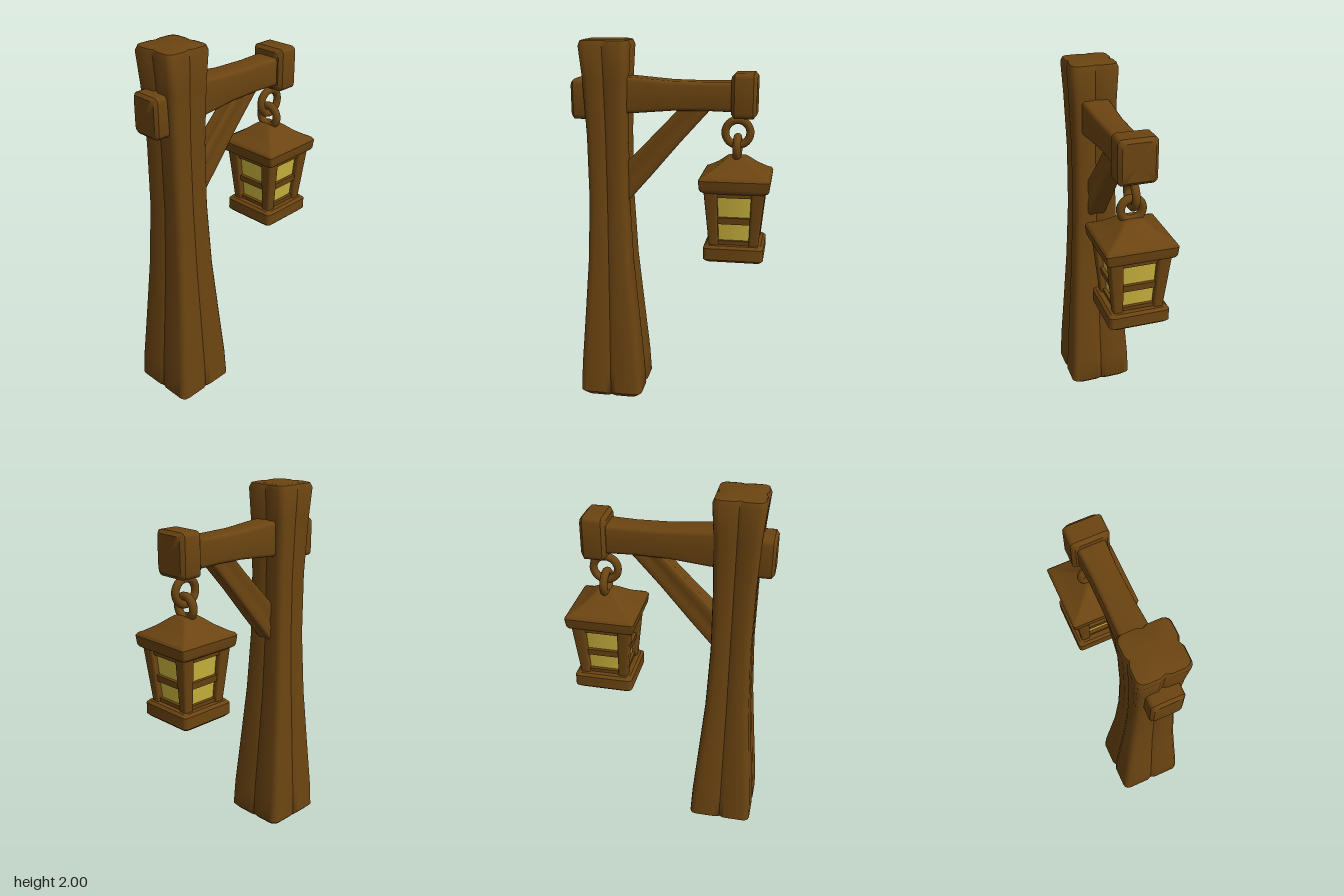
import * as THREE from 'three';
import { toCreasedNormals } from 'three/addons/utils/BufferGeometryUtils.js';

const wood = new THREE.MeshStandardMaterial({ color: 0x6b4411 });
wood.name = 'brown wood';
const glow = new THREE.MeshStandardMaterial({ color: 0xcdb63f });
glow.name = 'yellow glass';

// Rounded rectangle outline with an optional groove in the middle of each side
function outline(hx, hz, r, groove) {
  const pts = [];
  for (let k = 0; k < 4; k++) {
    const a = k * Math.PI / 2, c = Math.round(Math.cos(a)), s = Math.round(Math.sin(a));
    const reach = c ? hx : hz, side = c ? hz : hx;
    const add = (u, v) => pts.push([u * c - v * s, u * s + v * c]);
    if (groove) {
      add(reach, -0.025);
      add(reach - groove, 0);
      add(reach, 0.025);
    }
    for (let i = 0; i <= 3; i++) {
      const t = i * Math.PI / 6;
      add(reach - r + r * Math.cos(t), side - r + r * Math.sin(t));
    }
  }
  return pts;
}

// Closed solid from sections [height, halfX, halfZ, centreX, centreZ] stacked along y
function loft(sections, { r = 0.02, groove = 0, crease = 0.65 } = {}) {
  const pos = [], index = [];
  let n = 0;
  for (const [y, hx, hz, cx = 0, cz = 0] of sections) {
    const ring = outline(hx, hz, Math.min(r, hx * 0.9, hz * 0.9), groove);
    n = ring.length;
    for (const [x, z] of ring) pos.push(x + cx, y, z + cz);
  }
  const last = sections.length - 1, base = pos.length / 3;
  for (const [y, , , cx = 0, cz = 0] of [sections[0], sections[last]]) pos.push(cx, y, cz);
  for (let j = 0; j < n; j++) {
    const k = (j + 1) % n;
    for (let i = 0; i < last; i++) {
      const a = i * n + j, b = i * n + k;
      index.push(a, a + n, b, b, a + n, b + n);
    }
    index.push(base, j, k, base + 1, last * n + k, last * n + j);
  }
  const g = new THREE.BufferGeometry();
  g.setAttribute('position', new THREE.Float32BufferAttribute(pos, 3));
  g.setIndex(index);
  return toCreasedNormals(g, crease);
}

// Block with bevelled ends between y0 and y1
function block(y0, y1, hx, hz, bevel, r = 0.025) {
  return loft([
    [y0, hx - bevel, hz - bevel], [y0 + bevel, hx, hz],
    [y1 - bevel, hx, hz], [y1, hx - bevel, hz - bevel],
  ], { r });
}

export function createModel() {
  const model = new THREE.Group();
  model.name = 'lanternPost';
  const add = (parent, name, geometry, material = wood) => {
    const mesh = new THREE.Mesh(geometry, material);
    mesh.name = name;
    parent.add(mesh);
    return mesh;
  };

  // Post, flared at the foot and slightly at the top
  add(model, 'post', loft([
    [0, 0.15, 0.155, -0.332], [0.03, 0.177, 0.184, -0.332], [0.18, 0.17, 0.178, -0.333],
    [0.45, 0.148, 0.16, -0.335], [0.8, 0.12, 0.138, -0.338], [1.15, 0.106, 0.122, -0.34],
    [1.5, 0.108, 0.117, -0.343], [1.8, 0.118, 0.125, -0.347], [1.97, 0.131, 0.132, -0.35],
    [1.995, 0.122, 0.123, -0.35], [2, 0.105, 0.106, -0.35],
  ], { r: 0.035, groove: 0.011, crease: 0.8 }));

  // Crossbeam with its end block and the stub behind the post
  const beam = add(model, 'crossbeam', loft([
    [-0.3, 0.098, 0.08], [-0.2, 0.093, 0.077], [0, 0.077, 0.069],
    [0.18, 0.074, 0.067], [0.36, 0.077, 0.075],
  ], { r: 0.02 }));
  beam.rotation.z = -Math.PI / 2;
  beam.position.y = 1.715;
  const endBlock = add(model, 'beamEndBlock', block(0.315, 0.447, 0.115, 0.1, 0.018));
  endBlock.rotation.z = -Math.PI / 2;
  endBlock.position.y = 1.722;
  const stub = add(model, 'beamRearStub', block(-0.535, -0.4, 0.105, 0.084, 0.015));
  stub.rotation.z = -Math.PI / 2;
  stub.position.y = 1.69;

  // Diagonal brace
  const brace = add(model, 'brace', loft([
    [0, 0.077, 0.052], [0.2, 0.073, 0.05], [0.45, 0.064, 0.046], [0.69, 0.062, 0.046],
  ], { r: 0.015, groove: 0.008 }));
  brace.position.set(-0.3, 1.185, 0);
  brace.rotation.z = -Math.atan2(0.47, 0.515);

  // Hanging lantern
  const lantern = new THREE.Group();
  lantern.name = 'lantern';
  lantern.position.x = 0.347;
  model.add(lantern);

  // Two linked rings
  add(lantern, 'upperRing', new THREE.TorusGeometry(0.066, 0.021, 12, 32)).position.y = 1.525;
  const lowerRing = add(lantern, 'lowerRing', new THREE.TorusGeometry(0.057, 0.022, 12, 32));
  lowerRing.position.y = 1.443;
  lowerRing.rotation.y = Math.PI / 2;

  // Roof with a concave slope and a thick eave
  add(lantern, 'roof', loft([
    [1.225, 0.155, 0.155], [1.238, 0.176, 0.176], [1.25, 0.182, 0.182], [1.297, 0.187, 0.187],
    [1.31, 0.178, 0.178], [1.318, 0.16, 0.16], [1.352, 0.106, 0.106],
    [1.392, 0.058, 0.058], [1.4, 0.046, 0.046],
  ], { r: 0.012, crease: 0.5 }));
  add(lantern, 'base', block(0.85, 0.94, 0.16, 0.16, 0.014, 0.02));

  // Tapered glass core, rails and corner posts
  const halfAt = y => 0.131 + (y - 0.93) * 0.095;
  const frustum = (y0, y1, inset) => loft([
    [y0, halfAt(y0) - inset, halfAt(y0) - inset], [y1, halfAt(y1) - inset, halfAt(y1) - inset],
  ], { r: 0.004 });
  add(lantern, 'glass', frustum(0.935, 1.23, 0.03), glow);
  add(lantern, 'bottomRail', frustum(0.93, 0.962, 0.012));
  add(lantern, 'middleRail', frustum(1.056, 1.092, 0.012));
  add(lantern, 'topRail', frustum(1.203, 1.235, 0.012));
  for (const sx of [-1, 1]) for (const sz of [-1, 1]) {
    const section = y => {
      const half = halfAt(y), inner = 0.08 + (y - 0.93) * 0.03;
      const w = (half - inner) / 2, c = (half + inner) / 2;
      return [y, w, w, sx * c, sz * c];
    };
    add(lantern, 'cornerPost', loft([section(0.93), section(1.235)], { r: 0.01 }));
  }
  return model;
}
